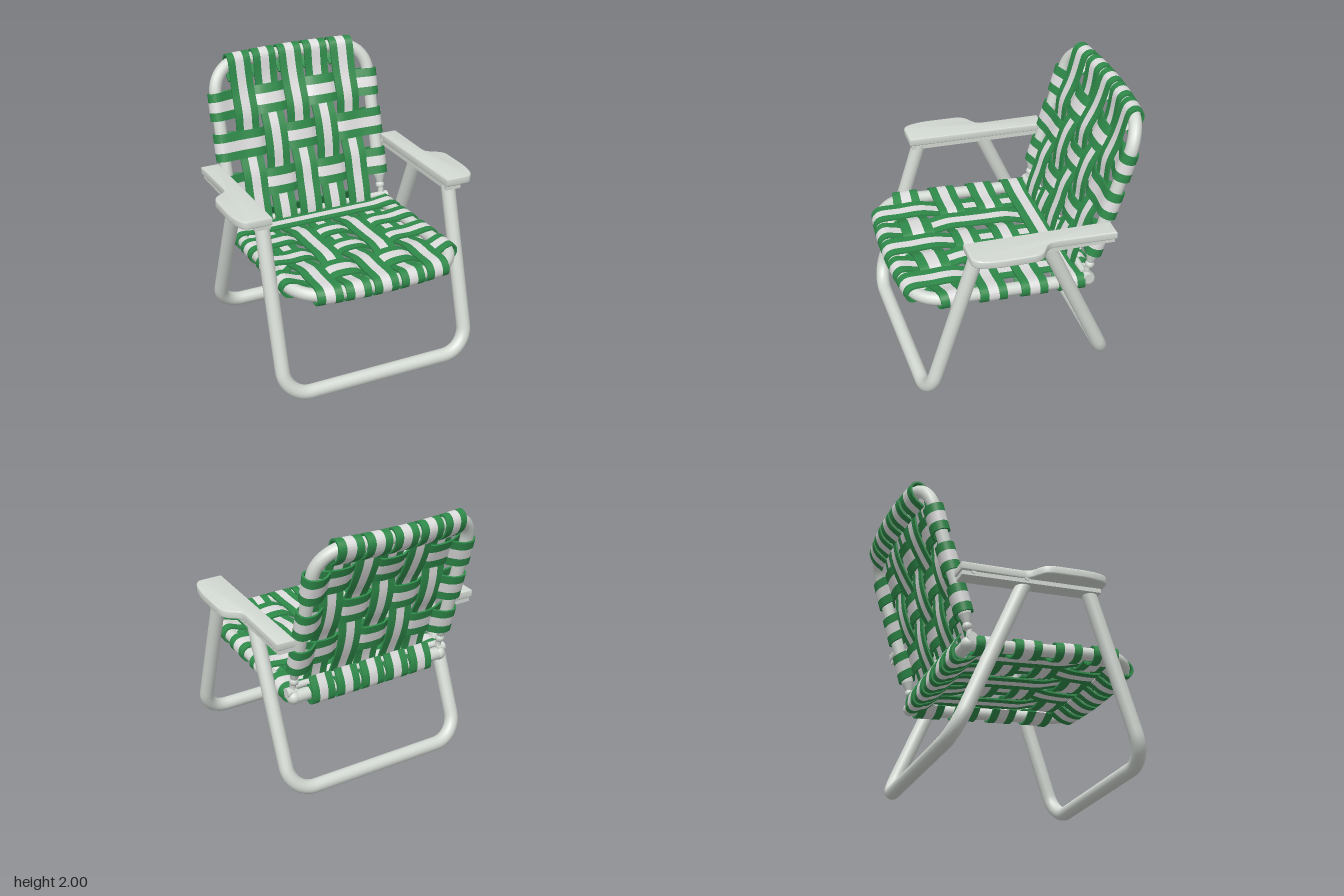
import * as THREE from 'three';
import { toCreasedNormals } from 'three/addons/utils/BufferGeometryUtils.js';

const material = (name, color, side = THREE.FrontSide) => {
  const m = new THREE.MeshStandardMaterial({ color, side });
  m.name = name;
  return m;
};
const V = (x, y, z) => new THREE.Vector3(x, y, z);
const SIDE = 0.615;        // x of the seat and back side tubes
const COLUMNS = [-0.41, -0.205, 0, 0.205, 0.41];

// Surfaces of the seat and the back: across x, along v, height h above the tubes
const bow = (x, t) => 0.058 * (1 - (x / SIDE) ** 2) * THREE.MathUtils.smoothstep(t, 0, 1);
const seatMap = (x, v, h) =>
  V(x, 0.778 + 0.09 * v - 0.35 * Math.max(0, v - 0.5) ** 2 + h, v + bow(x, (v - 0.35) / 0.4));
const backMap = (x, v, h) =>
  V(x, v + 0.287 * h,
    -0.505 - 0.3 * (v - 1.06) - 0.6 * Math.max(0, 1 - v) ** 2 - bow(x, (v - 1.5) / 0.4) + 0.958 * h);

// Polyline with rounded corners, sampled to points
function rounded(points, r) {
  const path = new THREE.CurvePath();
  let last = points[0];
  for (let i = 1; i < points.length - 1; i++) {
    const p = points[i];
    const a = p.clone().add(points[i - 1].clone().sub(p).setLength(r));
    const b = p.clone().add(points[i + 1].clone().sub(p).setLength(r));
    const k = 0.55;
    path.add(new THREE.LineCurve3(last, a));
    path.add(new THREE.CubicBezierCurve3(a, a.clone().lerp(p, k), b.clone().lerp(p, k), b));
    last = b;
  }
  path.add(new THREE.LineCurve3(last, points[points.length - 1]));
  return path.getSpacedPoints(90);
}
const tube = (points, r, segments = 140) =>
  new THREE.TubeGeometry(new THREE.CatmullRomCurve3(points), segments, r, 14);

// Side path of one web: folded round the tubes at both ends, woven between
function webPath(start, end, R0, R1, crossings, over, half) {
  const base = 0.026, lift = 0.015, pts = [];
  const fold = (s, R, dir) => {
    const f = [[s + dir * 0.13, 0.0], [s + dir * 0.06, -R * 0.85]];
    for (let a = -90; a <= 90; a += 30) {
      const t = THREE.MathUtils.degToRad(a);
      f.push([s - dir * R * Math.cos(t), R * Math.sin(t)]);
    }
    return f;
  };
  pts.push(...fold(start, R0, 1));
  crossings.forEach((c, i) => {
    const h = base + (over[i] ? lift : -lift);
    pts.push([c - half, h], [c + half, h]);
  });
  pts.push(...fold(end, R1, -1).reverse());
  return new THREE.CatmullRomCurve3(pts.map(([s, h]) => V(s, h, 0)), false, 'centripetal').getPoints(110);
}

// Thick ribbon swept along a web path, between w0 and w1 of its width
function ribbon(map, alongX, centre, w0, w1, path) {
  const flip = (map === seatMap) !== alongX, t = 0.007, pos = [];
  const rings = path.map((p, i) => {
    const a = path[Math.max(0, i - 1)], b = path[Math.min(path.length - 1, i + 1)];
    const d = b.clone().sub(a).normalize();
    return [[w0, t], [w1, t], [w1, -t], [w0, -t]].map(([w, n]) => {
      const s = p.x - d.y * n, h = p.y + d.x * n;
      return alongX ? map(s, centre + w, h) : map(centre + w, s, h);
    });
  });
  const quad = (a, b, c, d) => {
    for (const p of flip ? [a, c, b, a, d, c] : [a, b, c, a, c, d]) pos.push(p.x, p.y, p.z);
  };
  for (let i = 0; i < rings.length - 1; i++) {
    for (let k = 0; k < 4; k++) {
      const n = (k + 1) % 4;
      quad(rings[i][k], rings[i][n], rings[i + 1][n], rings[i + 1][k]);
    }
  }
  const first = rings[0], end = rings[rings.length - 1];
  quad(first[3], first[2], first[1], first[0]);
  quad(...end);
  const g = new THREE.BufferGeometry();
  g.setAttribute('position', new THREE.Float32BufferAttribute(pos, 3));
  return toCreasedNormals(g, 0.8);
}

export function createModel() {
  const model = new THREE.Group();
  model.name = 'foldingLawnChair';
  const metal = material('palePaintedMetal', 0xd3d9d3);
  const green = material('greenWebbing', 0x2f8a4a, THREE.DoubleSide);
  const white = material('whiteWebbing', 0xdcdcdc, THREE.DoubleSide);

  const add = (name, geometry, mat = metal, parent = model) => {
    const mesh = new THREE.Mesh(geometry, mat);
    mesh.name = name;
    parent.add(mesh);
    return mesh;
  };
  const pinX = (name, x, y, z, r, length) => {
    const pin = add(name, new THREE.CylinderGeometry(r, r, length, 14));
    pin.rotation.z = Math.PI / 2;
    pin.position.set(x, y, z);
  };
  const ball = (name, x, y, z, r) =>
    add(name, new THREE.SphereGeometry(r, 14, 10)).position.set(x, y, z);

  // U-shaped legs
  const leg = (name, topY, topZ, footZ) => add(name, tube(rounded([
    V(-0.715, topY, topZ), V(-0.715, 0.053, footZ), V(0.715, 0.053, footZ), V(0.715, topY, topZ)], 0.19), 0.052));
  leg('frontLeg', 1.24, 0.405, 0.782);
  leg('backLeg', 1.21, -0.085, -0.575);

  // Seat and back tubes
  const bent = (name, map, points, r) =>
    add(name, tube(rounded(points, r).map(p => map(p.x, p.y, 0)), 0.046));
  bent('seatFrame', seatMap,
    [V(-SIDE, -0.45, 0), V(-SIDE, 0.77, 0), V(SIDE, 0.77, 0), V(SIDE, -0.45, 0)], 0.2);
  bent('backFrame', backMap,
    [V(-SIDE, 0.95, 0), V(-SIDE, 1.935, 0), V(SIDE, 1.935, 0), V(SIDE, 0.95, 0)], 0.2);
  pinX('rearSeatBar', 0, 0.737, -0.45, 0.046, 2 * SIDE);
  pinX('lowerBackBar', 0, 0.80, -0.415, 0.024, 2 * SIDE);

  // Woven webs: each is green, white, green
  const web = (name, map, alongX, centre, width, path) => {
    const group = new THREE.Group();
    group.name = name;
    model.add(group);
    const o = width / 2, i = width * 0.19;
    add('greenEdge', ribbon(map, alongX, centre, -o, -i, path), green, group);
    add('whiteStripe', ribbon(map, alongX, centre, -i, i, path), white, group);
    add('greenEdge', ribbon(map, alongX, centre, i, o, path), green, group);
  };
  // Each row lists the columns where the cross web lies on top
  const weave = (name, map, start, end, R0, rows) => {
    const at = rows.map(r => r.v);
    COLUMNS.forEach((x, c) => web(name + 'LongWeb', map, false, x, 0.178,
      webPath(start, end, R0, 0.056, at, rows.map(r => !r.top[c]), 0.075)));
    rows.forEach(r => web(name + 'CrossWeb', map, true, r.v, 0.195,
      webPath(-SIDE, SIDE, 0.056, 0.056, COLUMNS, r.top, 0.07)));
  };
  const outer = [1, 0, 1, 0, 1], inner = [0, 1, 0, 1, 0], all = [1, 1, 1, 1, 1];
  weave('seat', seatMap, -0.45, 0.77, 0.056, [
    { v: -0.31, top: all }, { v: -0.03, top: outer }, { v: 0.27, top: outer }, { v: 0.56, top: inner }]);
  weave('back', backMap, 0.737, 1.935, 0.068, [
    { v: 1.06, top: inner }, { v: 1.36, top: outer }, { v: 1.65, top: inner }]);

  for (const s of [1, -1]) {
    // Armrest: flared top plate over a narrow rail, sloping down to the rear
    const slope = g => {
      const p = g.attributes.position;
      for (let i = 0; i < p.count; i++) p.setY(i, p.getY(i) + 1.274 + 0.06 * p.getZ(i));
      return toCreasedNormals(g, 0.6);
    };
    const shape = new THREE.Shape();
    shape.moveTo(s * 0.675, -0.56);
    shape.lineTo(s * 0.79, -0.56);
    shape.lineTo(s * 0.782, -0.11);
    shape.bezierCurveTo(s * 0.79, -0.02, s * 0.895, -0.04, s * 0.9, 0.06);
    shape.lineTo(s * 0.9, 0.28);
    shape.quadraticCurveTo(s * 0.89, 0.47, s * 0.83, 0.475);
    shape.lineTo(s * 0.675, 0.475);
    shape.closePath();
    const plate = new THREE.ExtrudeGeometry(shape, {
      depth: 0.04, bevelThickness: 0.01, bevelSize: 0.01, bevelSegments: 3, curveSegments: 12 });
    add('armrestPlate', slope(plate.rotateX(Math.PI / 2)));
    const rail = new THREE.BoxGeometry(0.115, 0.075, 1.03).translate(s * 0.727, -0.044, -0.045);
    add('armrestRail', slope(rail));
    for (const [y, z] of [[1.222, -0.09], [1.195, -0.48]]) pinX('armrestRivet', s * 0.735, y, z, 0.018, 0.115);

    // Bolts joining the armrest to the back and the seat to the legs
    pinX('backBolt', s * 0.655, 1.195, -0.54, 0.016, 0.1);
    pinX('frontSeatBolt', s * 0.665, 0.822, 0.535, 0.018, 0.1);
    pinX('rearSeatBolt', s * 0.665, 0.752, -0.28, 0.018, 0.1);

    // Tapered hinge between the back and the seat
    const hinge = backMap(s * SIDE, 0.92, 0);
    const neck = add('backNeck', new THREE.CylinderGeometry(0.046, 0.024, 0.07, 14));
    neck.position.copy(hinge);
    neck.rotation.x = -0.2;
    ball('neckBall', s * SIDE, 0.865, hinge.z + 0.01, 0.034);
    add('hingeRod', tube([V(s * SIDE, 0.9, hinge.z), V(s * SIDE, 0.82, -0.44), V(s * SIDE, 0.74, -0.45)], 0.022, 12));
    pinX('hingePin', s * 0.63, 0.775, -0.435, 0.036, 0.07);
    ball('seatCorner', s * SIDE, 0.737, -0.45, 0.05);
  }
  return model;
}
